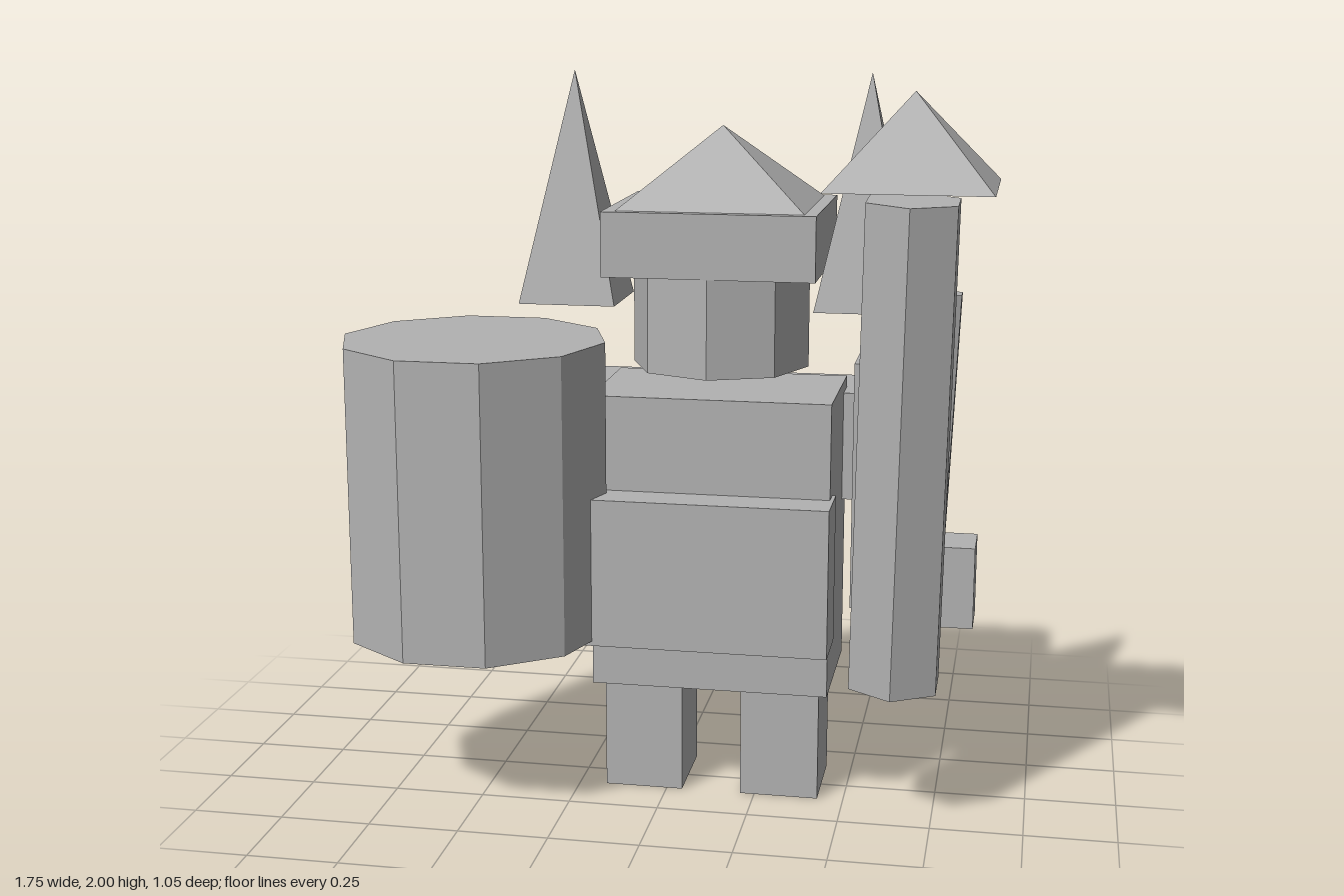
import * as THREE from 'three';

const stone = new THREE.MeshStandardMaterial({ color: 0xb2b2b2, flatShading: true });
stone.name = 'stone grey';

const CX = 0.127; // the body's own centre line

export function createModel() {
  const group = new THREE.Group();

  function add(name, geometry) {
    const mesh = new THREE.Mesh(geometry, stone);
    mesh.name = name;
    group.add(mesh);
    return mesh;
  }

  // Box given by its limits on each axis
  function box(name, [x0, x1], [y0, y1], [z0, z1]) {
    add(name, new THREE.BoxGeometry(x1 - x0, y1 - y0, z1 - z0))
      .position.set((x0 + x1) / 2, (y0 + y1) / 2, (z0 + z1) / 2);
  }

  // Four-sided pyramid with its base edges along x and z
  function pyramid(name, x, z, width, depth, y0, y1) {
    const g = new THREE.ConeGeometry(Math.SQRT1_2, y1 - y0, 4).rotateY(Math.PI / 4);
    g.scale(width, 1, depth);
    add(name, g).position.set(x, (y0 + y1) / 2, z);
  }

  // Prism running between two points
  function prism(name, radius, sides, from, to, turn = 0) {
    const a = new THREE.Vector3(...from);
    const b = new THREE.Vector3(...to);
    const axis = b.clone().sub(a);
    const g = new THREE.CylinderGeometry(radius, radius, axis.length(), sides).rotateY(turn);
    const mesh = add(name, g);
    mesh.position.copy(a).add(b).multiplyScalar(0.5);
    mesh.quaternion.setFromUnitVectors(new THREE.Vector3(0, 1, 0), axis.normalize());
  }

  // Torso, front plate, back beam and rear block
  box('torso', [-0.2, 0.455], [0.32, 1.14], [-0.242, 0.155]);
  box('frontPlate', [-0.21, 0.465], [0.467, 0.878], [0.1, 0.267]);
  box('backBeam', [-0.35, 0.605], [0.8, 1.107], [-0.422, -0.16]);
  box('rearBlock', [-0.003, 0.137], [0.475, 0.66], [-0.518, -0.42]);

  // Legs, arms and shoulder spires
  for (const [side, s] of [['left', 1], ['right', -1]]) {
    const span = (a, b) => (s > 0 ? [CX + a, CX + b] : [CX - b, CX - a]);
    box(side + 'Leg', span(0.083, 0.301), [0, 0.32], [-0.14, 0.105]);
    box(side + 'Arm', span(0.382, 0.572), [0.567, 1.245], [-0.155, 0.112]);
    pyramid(side + 'ShoulderSpire', CX + s * 0.402, -0.021, 0.265, 0.265, 1.378, 2);
  }

  // Head with brim and roof
  prism('head', 0.243, 8, [CX, 1.205, -0.03], [CX, 1.472, -0.03]);
  box('brim', [-0.158, 0.412], [1.472, 1.645], [-0.301, 0.209]);
  pyramid('roof', CX, -0.049, 0.502, 0.458, 1.645, 1.855);

  // Large drum carried on the right side
  prism('drum', 0.364, 10, [-0.515, 0.48, 0.187], [-0.515, 1.293, 0.187], Math.PI / 2);

  // Left hand with a thin rod and a leaning, capped pillar
  box('leftHand', [0.62, 0.843], [0.53, 0.755], [-0.026, 0.123]);
  prism('rod', 0.053, 6, [0.7, 0.466, 0.05], [0.738, 1.432, 0.047]);
  prism('pillar', 0.133, 6, [0.643, 0.405, 0.24], [0.666, 1.702, 0.294]);
  pyramid('pillarCap', 0.665, 0.295, 0.42, 0.42, 1.738, 1.973);

  return group;
}
